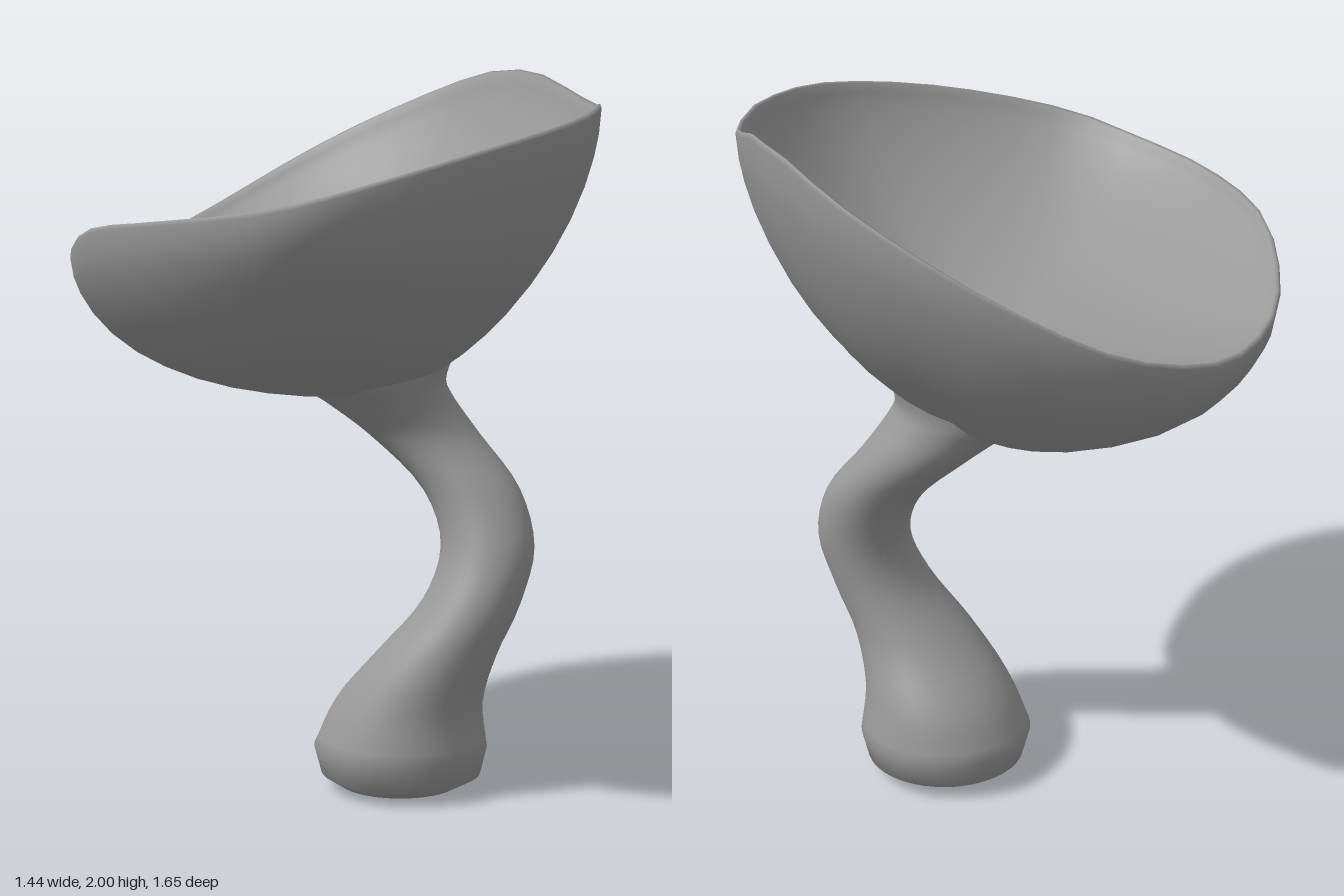
import * as THREE from 'three';
import { mergeVertices } from 'three/addons/utils/BufferGeometryUtils.js';

const SIDES = 40;

// Skin a list of rings (each SIDES points, running from +x towards +z)
function loft(rings) {
  const pos = rings.flat().flatMap((p) => [p.x, p.y, p.z]);
  const index = [];
  for (let i = 0; i < rings.length - 1; i++) {
    for (let j = 0; j < SIDES; j++) {
      const k = (j + 1) % SIDES;
      const a = i * SIDES + j, b = i * SIDES + k;
      index.push(a, a + SIDES, b, b, a + SIDES, b + SIDES);
    }
  }
  let g = new THREE.BufferGeometry();
  g.setAttribute('position', new THREE.Float32BufferAttribute(pos, 3));
  g.setIndex(index);
  g = mergeVertices(g, 1e-5);
  g.computeVertexNormals();
  return g;
}

// Winding stem: level, then x range and z range of each oval section
function stemGeometry() {
  const foot = [
    [0, 0.18, 0.18, -0.055, -0.055],
    [0, 0.06, 0.28, -0.17, 0.06],
    [0.012, 0.01, 0.35, -0.225, 0.115],
    [0.045, -0.04, 0.41, -0.28, 0.17],
  ];
  const levels = [
    [0.12, -0.06, 0.428, -0.3, 0.19],
    [0.25, 0.0, 0.415, -0.265, 0.175],
    [0.4, 0.12, 0.455, -0.185, 0.17],
    [0.55, 0.245, 0.52, -0.155, 0.15],
    [0.7, 0.295, 0.555, -0.165, 0.105],
    [0.85, 0.245, 0.515, -0.2, 0.055],
    [1.0, 0.09, 0.4, -0.245, 0.025],
    [1.1, -0.04, 0.33, -0.255, 0.07],
    [1.16, -0.13, 0.305, -0.265, 0.12],
    [1.23, -0.17, 0.325, -0.28, 0.15],
  ];
  // Centre line and radii are smoothed together
  const centre = ([y, a, b, c, d]) => new THREE.Vector3((a + b) / 2, y, (c + d) / 2);
  const radius = ([, a, b, c, d]) => new THREE.Vector3((b - a) / 2, 0, (d - c) / 2);
  const mid = new THREE.CatmullRomCurve3(levels.map(centre));
  const rad = new THREE.CatmullRomCurve3(levels.map(radius), false, 'catmullrom');
  const ring = (c, r) => Array.from({ length: SIDES }, (_, j) => {
    const t = (j / SIDES) * Math.PI * 2;
    return new THREE.Vector3(c.x + r.x * Math.cos(t), c.y, c.z + r.z * Math.sin(t));
  });
  const rings = foot.map((f) => ring(centre(f), radius(f)));
  const n = 36;
  for (let i = 0; i <= n; i++) rings.push(ring(mid.getPoint(i / n), rad.getPoint(i / n)));
  return loft(rings);
}

// Tilted cup with a wavy rim: outer skin up, over the lip, inner skin down
function cupGeometry() {
  const rim = new THREE.CatmullRomCurve3([
    [0.72, 1.92, 0], [0.68, 1.9, 0.27], [0.6, 1.875, 0.43], [0.4, 1.82, 0.64],
    [0.15, 1.75, 0.79], [0, 1.71, 0.825], [-0.14, 1.68, 0.785], [-0.4, 1.645, 0.63],
    [-0.6, 1.61, 0.4], [-0.68, 1.56, 0.22], [-0.725, 1.49, -0.03], [-0.68, 1.47, -0.33],
    [-0.58, 1.51, -0.53], [-0.43, 1.59, -0.7], [-0.2, 1.725, -0.81], [-0.02, 1.82, -0.828],
    [0.24, 1.935, -0.76], [0.395, 1.99, -0.65], [0.49, 2.0, -0.56], [0.57, 1.985, -0.44],
    [0.655, 1.94, -0.3], [0.71, 1.915, -0.14],
  ].map((p) => new THREE.Vector3(...p)), true);
  const edge = rim.getSpacedPoints(SIDES).slice(0, SIDES);

  // Height rises from the centre to the rim along a rounded bowl profile
  const skin = (centre, s, inset, drop, power, round) => edge.map((r) => {
    const f = 1 - Math.pow(Math.max(0, 1 - Math.pow(s, power(r))), round);
    const k = s * inset;
    return new THREE.Vector3(
      centre.x + (r.x - centre.x) * k,
      centre.y + (r.y - drop - centre.y) * f,
      centre.z + (r.z - centre.z) * k);
  });
  const under = new THREE.Vector3(0.12, 1.12, -0.08);
  const inside = new THREE.Vector3(0, 1.37, 0);
  const outerPower = (r) => 1.5 + 1.6 * Math.max(0, -r.x / 0.72);
  const innerPower = (r) => 2 + 0.6 * Math.max(0, -r.z / 0.82);
  const steps = [0, 0.1, 0.2, 0.3, 0.4, 0.5, 0.6, 0.7, 0.79, 0.87, 0.93, 0.97, 0.99, 1];
  return loft([
    ...steps.map((s) => skin(under, s, 1, 0.012, outerPower, 0.58)),
    skin(under, 1, 0.993, 0, outerPower, 0.58),
    ...steps.slice().reverse().map((s) => skin(inside, s, 0.98, 0.004, innerPower, 0.75)),
  ]);
}

export function createModel() {
  const group = new THREE.Group();
  const material = new THREE.MeshStandardMaterial({ color: 0x999999 });
  const add = (name, geometry) => {
    const mesh = new THREE.Mesh(geometry, material);
    mesh.name = name;
    group.add(mesh);
  };
  add('stem', stemGeometry());
  add('cup', cupGeometry());
  return group;
}
